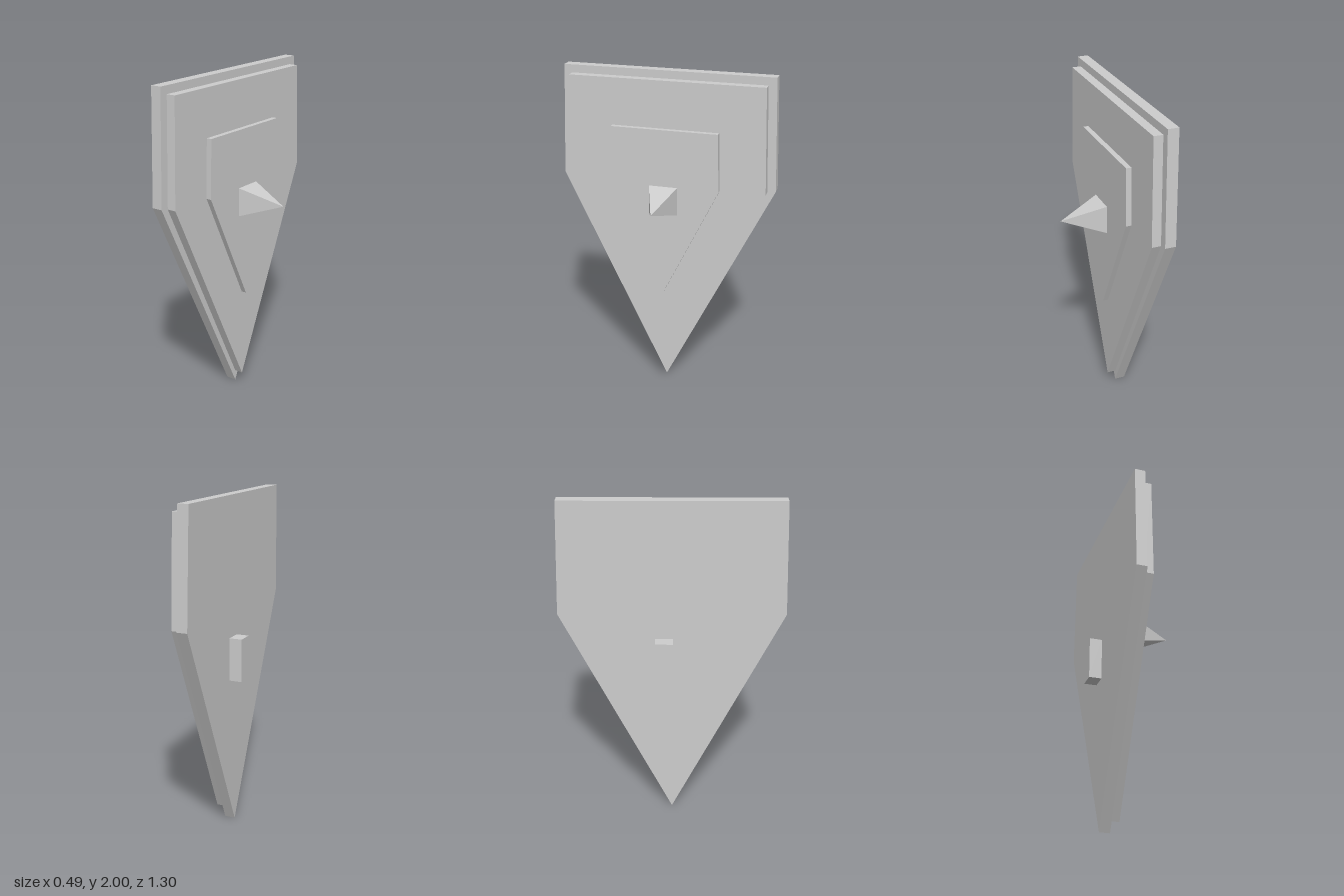
import * as THREE from 'three';

export function createModel() {
  const group = new THREE.Group();
  const grey = new THREE.MeshStandardMaterial({ color: 0xcccccc, flatShading: true });
  grey.name = 'shieldGrey';

  const add = (name, geometry) => {
    const mesh = new THREE.Mesh(geometry, grey);
    mesh.name = name;
    group.add(mesh);
    return mesh;
  };

  // Five-sided plate lying across x, from x0 to x1
  const plate = (name, x0, x1, top, topHalf, shoulder, shoulderHalf, tip) => {
    const outline = new THREE.Shape([
      new THREE.Vector2(0, tip),
      new THREE.Vector2(shoulderHalf, shoulder),
      new THREE.Vector2(topHalf, top),
      new THREE.Vector2(-topHalf, top),
      new THREE.Vector2(-shoulderHalf, shoulder),
    ]);
    const geometry = new THREE.ExtrudeGeometry(outline, { depth: x1 - x0, bevelEnabled: false });
    geometry.rotateY(Math.PI / 2);
    add(name, geometry).position.x = x0;
  };

  // Stepped shield layers, back to front
  plate('backPlate', -0.174, -0.11, 2, 0.627, 1.334, 0.652, 0);
  plate('middlePlate', -0.11, -0.056, 1.953, 0.58, 1.325, 0.602, 0.068);
  plate('facePlate', -0.056, -0.024, 1.673, 0.32, 1.325, 0.331, 0.637);

  // Square spike floating just off the face
  const spike = new THREE.ConeGeometry(0.086 * Math.SQRT2, 0.255, 4);
  spike.rotateY(Math.PI / 4);
  spike.rotateZ(-Math.PI / 2);
  add('spike', spike).position.set(0.117, 1.248, 0);

  // Grip on the back
  add('handle', new THREE.BoxGeometry(0.076, 0.256, 0.104)).position.set(-0.212, 1.052, -0.045);

  return group;
}
